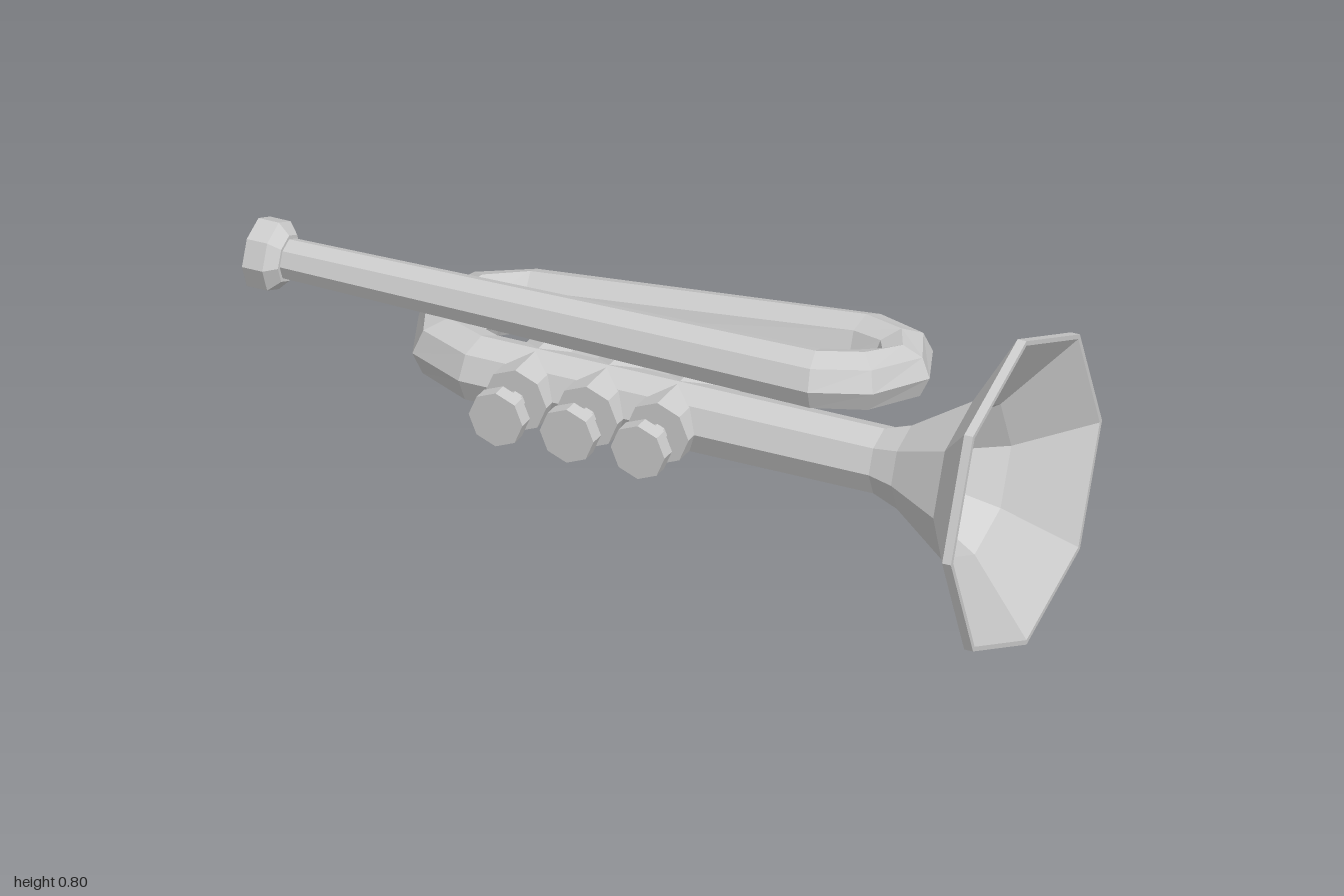
import * as THREE from 'three';

const SIDES = 8;
const material = new THREE.MeshStandardMaterial({ color: 0xcccccc, flatShading: true });

function part(name, geometry) {
  const mesh = new THREE.Mesh(geometry, material);
  mesh.name = name;
  return mesh;
}

// Octagonal tube through stations [x, y, z, radius], mitred at every bend
function sweep(stations) {
  const points = stations.map(([x, y, z]) => new THREE.Vector3(x, y, z));
  const up = new THREE.Vector3(0, 1, 0);
  const positions = [], index = [];
  const last = points.length - 1;
  points.forEach((p, i) => {
    const before = p.clone().sub(points[Math.max(i - 1, 0)]).normalize();
    const after = points[Math.min(i + 1, last)].clone().sub(p).normalize();
    const tangent = before.clone().add(after).normalize();
    const side = tangent.clone().cross(up).normalize();
    const top = side.clone().cross(tangent);
    const r = stations[i][3];
    const miter = 1 / tangent.dot(i < last ? after : before);
    for (let j = 0; j < SIDES; j++) {
      const a = (j / SIDES) * Math.PI * 2;
      const v = p.clone()
        .addScaledVector(top, r * Math.cos(a))
        .addScaledVector(side, r * miter * Math.sin(a));
      positions.push(v.x, v.y, v.z);
      if (i < last) {
        const k = (j + 1) % SIDES;
        const A = i * SIDES + j, B = i * SIDES + k;
        index.push(A, B, A + SIDES, B, B + SIDES, A + SIDES);
      }
    }
  });
  const geometry = new THREE.BufferGeometry();
  geometry.setAttribute('position', new THREE.Float32BufferAttribute(positions, 3));
  geometry.setIndex(index);
  geometry.computeVertexNormals();
  return geometry;
}

// Turned part about a lengthwise axis at height y; profile is [radius, x]
function turned(profile, y) {
  const points = profile.map(([r, x]) => new THREE.Vector2(r, x));
  return new THREE.LatheGeometry(points, SIDES).rotateZ(-Math.PI / 2).translate(0, y, 0);
}

// Octagonal cylinder running from z0 to z1
function zCylinder(name, r, z0, z1) {
  const geometry = new THREE.CylinderGeometry(r, r, z1 - z0, SIDES)
    .rotateX(Math.PI / 2).translate(0, 0, (z0 + z1) / 2);
  return part(name, geometry);
}

export function createModel() {
  const trumpet = new THREE.Group();
  trumpet.name = 'trumpet';
  const bellY = 0.405, pipeY = 0.577;

  // Mouthpiece with hollow cup
  trumpet.add(part('mouthpiece', turned([
    [0, -0.95], [0.045, -0.95], [0.053, -1], [0.088, -1],
    [0.088, -0.947], [0.06, -0.92], [0.045, -0.92],
  ], pipeY)));

  // Lead pipe, front bend, back run, rear bend and bell pipe in one tube
  trumpet.add(part('tubing', sweep([
    [-0.94, pipeY, 0, 0.05],
    [0.45, 0.58, 0, 0.073],
    [0.55, 0.578, -0.045, 0.073],
    [0.6, 0.56, -0.15, 0.068],
    [0.56, 0.55, -0.24, 0.07],
    [0.45, 0.54, -0.285, 0.072],
    [-0.43, 0.438, -0.3, 0.076],
    [-0.53, 0.428, -0.25, 0.08],
    [-0.572, 0.415, -0.155, 0.08],
    [-0.53, 0.407, -0.05, 0.082],
    [-0.42, bellY, 0, 0.084],
    [0.63, bellY, 0, 0.084],
  ])));

  // Flared bell: outside, rim, inside, closed throat
  trumpet.add(part('bell', turned([
    [0.084, 0.63], [0.108, 0.7], [0.21, 0.86], [0.402, 0.977], [0.402, 1],
    [0.39, 1], [0.195, 0.865], [0.09, 0.71], [0.058, 0.64], [0, 0.64],
  ], bellY)));

  // Three valves with stems and finger buttons
  [-0.275, -0.09, 0.095].forEach((x, i) => {
    const valve = new THREE.Group();
    valve.name = `valve${i + 1}`;
    valve.position.set(x, bellY, 0);
    valve.add(
      zCylinder('valveCasing', 0.081, -0.383, 0.115),
      zCylinder('valveStem', 0.026, 0.11, 0.185),
      zCylinder('fingerButton', 0.07, 0.18, 0.22),
    );
    trumpet.add(valve);
  });

  return trumpet;
}
